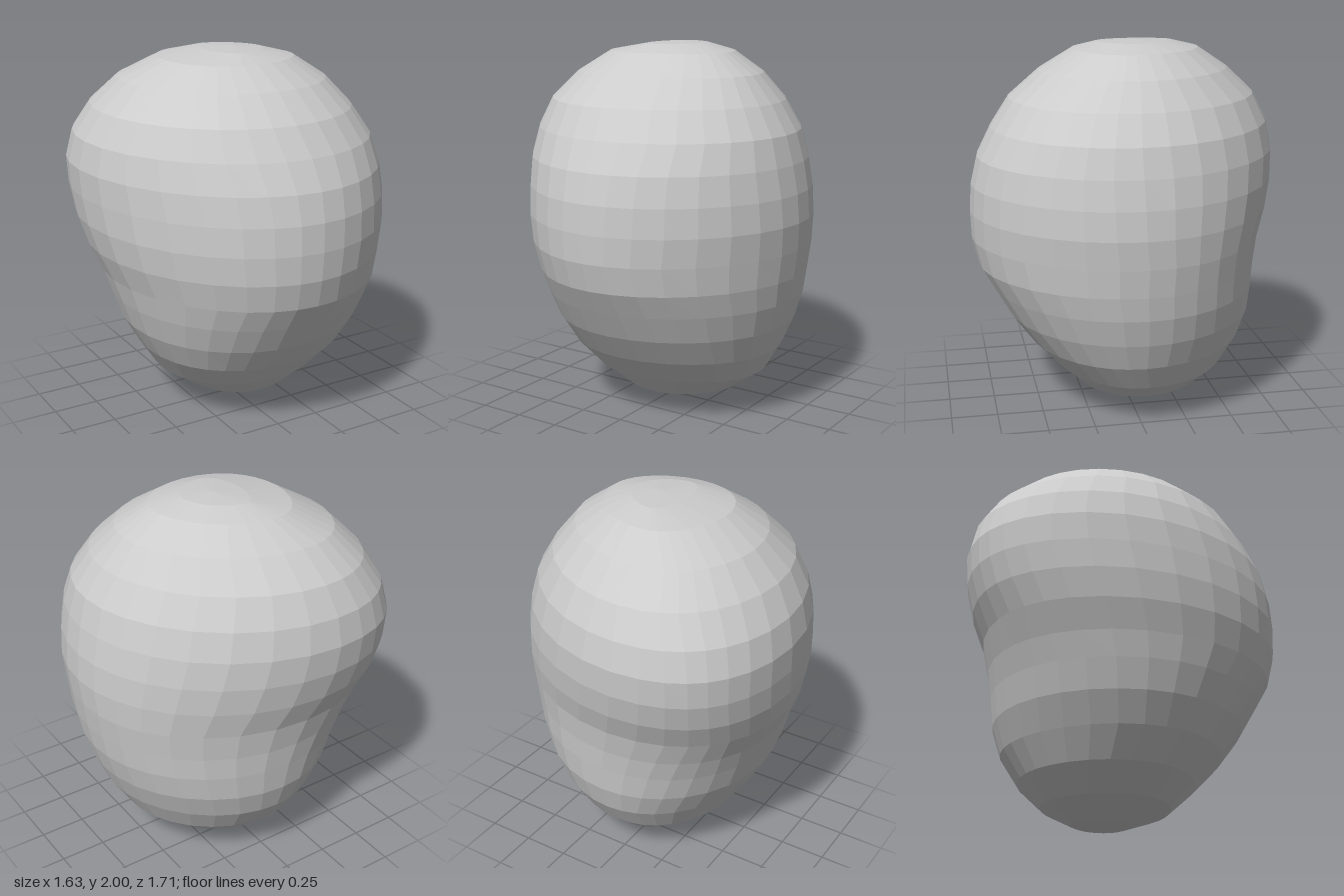
import * as THREE from 'three';

// Cross-sections from top to bottom: height, then the reach of the section in
// eight directions, turning from +x through +z, -x and -z.
const SECTIONS = [
  [1.99, 0.20, 0.15, 0.14, 0.15, 0.12, 0.23, 0.26, 0.21],
  [1.95, 0.36, 0.31, 0.28, 0.32, 0.36, 0.42, 0.43, 0.34],
  [1.84, 0.52, 0.49, 0.46, 0.50, 0.55, 0.65, 0.59, 0.50],
  [1.70, 0.65, 0.63, 0.63, 0.64, 0.70, 0.80, 0.75, 0.62],
  [1.55, 0.75, 0.73, 0.74, 0.71, 0.79, 0.90, 0.83, 0.70],
  [1.40, 0.79, 0.785, 0.82, 0.755, 0.82, 0.945, 0.855, 0.745],
  [1.25, 0.815, 0.81, 0.855, 0.775, 0.81, 0.94, 0.84, 0.765],
  [1.10, 0.82, 0.82, 0.86, 0.785, 0.79, 0.905, 0.80, 0.77],
  [0.95, 0.80, 0.81, 0.85, 0.775, 0.75, 0.84, 0.735, 0.765],
  [0.80, 0.78, 0.79, 0.81, 0.74, 0.69, 0.77, 0.71, 0.745],
  [0.67, 0.755, 0.75, 0.73, 0.70, 0.65, 0.72, 0.70, 0.73],
  [0.52, 0.71, 0.69, 0.64, 0.64, 0.60, 0.67, 0.69, 0.695],
  [0.37, 0.645, 0.61, 0.52, 0.56, 0.51, 0.60, 0.645, 0.635],
  [0.22, 0.55, 0.48, 0.38, 0.42, 0.41, 0.51, 0.55, 0.55],
  [0.10, 0.38, 0.33, 0.25, 0.26, 0.24, 0.37, 0.42, 0.42],
  [0.02, 0.20, 0.12, 0.05, 0.03, 0.05, 0.18, 0.27, 0.26],
];
const TOP = new THREE.Vector3(0.03, 2, -0.06);
const BOTTOM = new THREE.Vector3(0.07, 0, -0.11);
const SIDES = 32;

// Smooth closed outline whose reach in the eight directions matches the section
function outline([y, ...reach]) {
  const points = [];
  for (let j = 0; j < SIDES; j++) {
    const t = (j / SIDES) * Math.PI * 2;
    let h = 0, slope = 0;
    reach.forEach((r, i) => {
      const d = t - (i * Math.PI) / 4;
      h += r / 8;
      for (let k = 1; k <= 3; k++) {
        const weight = k === 3 ? 0.6 : 1;
        h += (weight * r * Math.cos(k * d)) / 4;
        slope -= (weight * k * r * Math.sin(k * d)) / 4;
      }
    });
    const c = Math.cos(t), s = Math.sin(t);
    points.push(new THREE.Vector3(h * c - slope * s, y, h * s + slope * c));
  }
  return points;
}

// Skin the outlines and close both ends with a fan
function buildSkin() {
  const rings = SECTIONS.map(outline);
  const last = rings[rings.length - 1];
  const corners = [];
  for (let j = 0; j < SIDES; j++) {
    const n = (j + 1) % SIDES;
    corners.push(TOP, rings[0][n], rings[0][j]);
    for (let i = 0; i < rings.length - 1; i++) {
      const a = rings[i][j], b = rings[i][n];
      const c = rings[i + 1][j], d = rings[i + 1][n];
      corners.push(a, b, c, b, d, c);
    }
    corners.push(BOTTOM, last[j], last[n]);
  }
  const geometry = new THREE.BufferGeometry().setFromPoints(corners);
  geometry.computeVertexNormals();
  return geometry;
}

export function createModel() {
  const group = new THREE.Group();
  group.name = 'boulder';
  const material = new THREE.MeshStandardMaterial({ color: 0xcccccc, flatShading: true });

  // Lumpy faceted stone, bulging out above a shallow dent at the back
  const stone = new THREE.Mesh(buildSkin(), material);
  stone.name = 'stone';
  group.add(stone);
  return group;
}
